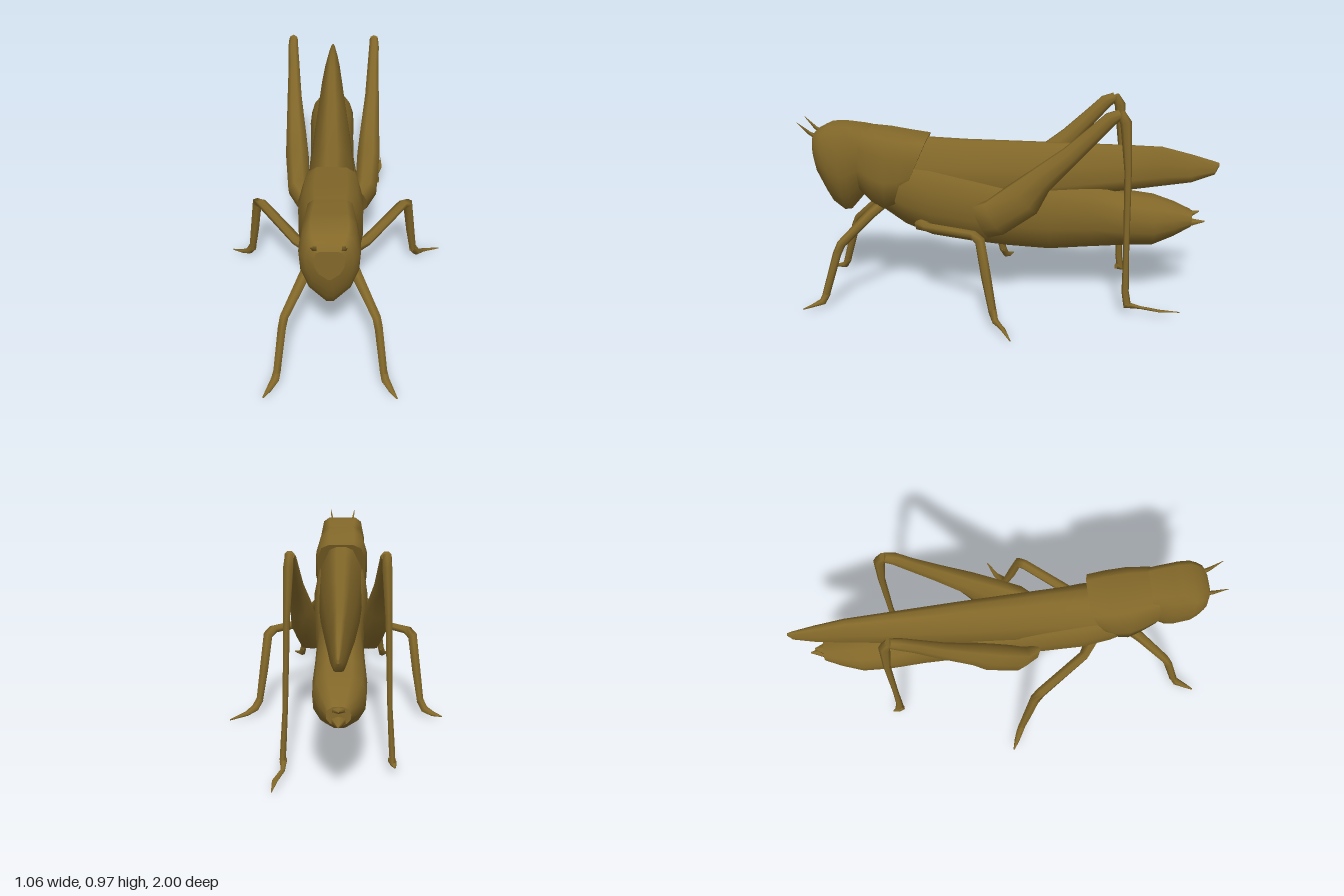
import * as THREE from 'three';

const CX = -0.02; // body axis

// Skin a list of closed rings (arrays of Vector3), capping both ends
function skin(rings) {
  const n = rings[0].length, pos = [], idx = [];
  const put = p => pos.push(p.x, p.y, p.z) / 3 - 1;
  rings.forEach(r => r.forEach(put));
  for (let k = 0; k < rings.length - 1; k++) {
    for (let i = 0; i < n; i++) {
      const j = (i + 1) % n, a = k * n, b = a + n;
      idx.push(a + i, b + i, a + j, a + j, b + i, b + j);
    }
  }
  [0, rings.length - 1].forEach(k => {
    const mid = new THREE.Vector3();
    rings[k].forEach(p => mid.addScaledVector(p, 1 / n));
    const c = put(mid);
    const first = pos.length / 3;
    rings[k].forEach(put); // own vertices keep the cap edge crisp
    for (let i = 0; i < n; i++) {
      const j = (i + 1) % n;
      if (k === 0) idx.push(c, first + i, first + j);
      else idx.push(c, first + j, first + i);
    }
  });
  const g = new THREE.BufferGeometry();
  g.setAttribute('position', new THREE.Float32BufferAttribute(pos, 3));
  g.setIndex(idx);
  g.computeVertexNormals();
  return g;
}

// Body loft, front to back. Section: [z, top, bottom, halfWidth, lean, axisX]
// Profile: [width fraction, depth fraction] from top to bottom
function bodyLoft(profile, sections) {
  return skin(sections.map(([z, top, bottom, hw, lean = 0, cx = CX]) => {
    const point = ([f, t], s) =>
      new THREE.Vector3(cx + s * f * hw, top + (bottom - top) * t, z + lean * t);
    return [
      ...[...profile].reverse().map(p => point(p, 1)),
      ...profile.map(p => point(p, -1)),
    ];
  }));
}

// Limb along a path. Point: [x, y, z, sideRadius, otherRadius]
function limb(points, sides = 6) {
  const P = points.map(p => new THREE.Vector3(p[0], p[1], p[2]));
  return skin(P.map((p, i) => {
    const before = P[Math.max(i - 1, 0)], after = P[Math.min(i + 1, P.length - 1)];
    const d = new THREE.Vector3();
    if (before !== p) d.add(p.clone().sub(before).normalize());
    if (after !== p) d.add(after.clone().sub(p).normalize());
    d.normalize();
    const u = new THREE.Vector3(1, 0, 0).addScaledVector(d, -d.x).normalize();
    const v = u.clone().cross(d);
    const [, , , ru, rv = ru] = points[i];
    return Array.from({ length: sides }, (_, k) => {
      const a = (k + 0.5) / sides * Math.PI * 2;
      return p.clone().addScaledVector(u, Math.cos(a) * ru).addScaledVector(v, Math.sin(a) * rv);
    });
  }));
}

export function createModel() {
  const model = new THREE.Group();
  model.name = 'grasshopper';
  const brown = new THREE.MeshStandardMaterial({ color: 0x836829 });
  brown.name = 'olive brown';
  const add = (name, geometry) => {
    const m = new THREE.Mesh(geometry, brown);
    m.name = name;
    model.add(m);
  };

  // Head: broad crown tapering to the mouth
  add('head', bodyLoft(
    [[0.6, 0], [0.85, 0.06], [1, 0.3], [0.95, 0.55], [0.68, 0.8], [0.12, 1]],
    [
      [0.932, 0.80, 0.66, 0.06],
      [0.915, 0.825, 0.595, 0.095],
      [0.885, 0.84, 0.53, 0.113],
      [0.855, 0.853, 0.475, 0.122],
      [0.80, 0.857, 0.43, 0.122],
      [0.765, 0.854, 0.435, 0.118],
      [0.70, 0.848, 0.51, 0.11],
      [0.66, 0.842, 0.53, 0.105],
    ]));

  // Neck shield with a slanted rear edge
  add('neckShield', bodyLoft(
    [[0.5, 0], [0.82, 0.07], [1, 0.3], [1, 0.65], [0.85, 1]],
    [
      [0.73, 0.845, 0.56, 0.105, -0.02],
      [0.66, 0.842, 0.50, 0.12, -0.01],
      [0.57, 0.832, 0.47, 0.135, 0.02],
      [0.47, 0.815, 0.49, 0.135, 0.07],
      [0.38, 0.803, 0.53, 0.125, 0.12],
    ]));

  // Thorax and abdomen
  add('abdomen', bodyLoft(
    [[0.45, 0], [0.85, 0.15], [1, 0.4], [0.96, 0.65], [0.7, 0.86], [0.25, 1]],
    [
      [0.68, 0.70, 0.50, 0.08],
      [0.60, 0.72, 0.44, 0.11],
      [0.50, 0.72, 0.37, 0.13],
      [0.37, 0.70, 0.315, 0.138],
      [0.18, 0.66, 0.285, 0.13],
      [0.0, 0.62, 0.264, 0.118],
      [-0.2, 0.60, 0.248, 0.108, 0, -0.025],
      [-0.4, 0.58, 0.262, 0.11, 0, -0.028],
      [-0.57, 0.53, 0.273, 0.116, 0, -0.03],
      [-0.7, 0.512, 0.277, 0.112, 0, -0.03],
      [-0.8, 0.48, 0.32, 0.082, 0, -0.03],
      [-0.88, 0.445, 0.365, 0.05, 0, -0.03],
    ]));
  add('upperTailTip', limb([[-0.03, 0.42, -0.8, 0.045, 0.035], [-0.03, 0.428, -0.87, 0.036, 0.016], [-0.03, 0.442, -0.92, 0.003]]));
  add('lowerTailTip', limb([[-0.03, 0.38, -0.8, 0.045, 0.035], [-0.03, 0.385, -0.87, 0.036, 0.022], [-0.03, 0.39, -0.95, 0.003]]));

  // Folded wings: a tall, narrow roof
  add('foldedWings', bodyLoft(
    [[0.2, 0], [0.5, 0.06], [0.85, 0.4], [1, 0.75], [0.6, 1]],
    [
      [0.45, 0.795, 0.50, 0.122],
      [0.2, 0.783, 0.49, 0.112],
      [-0.2, 0.773, 0.51, 0.09, 0, -0.025],
      [-0.57, 0.763, 0.555, 0.062, 0, -0.03],
      [-0.73, 0.757, 0.575, 0.047, 0, -0.03],
      [-0.87, 0.722, 0.592, 0.033, 0, -0.03],
      [-0.98, 0.69, 0.63, 0.016, 0, -0.03],
      [-1.0, 0.684, 0.67, 0.006, 0, -0.03],
    ]));

  for (const s of [1, -1]) {
    const side = s > 0 ? 'left' : 'right';
    const sided = pts => pts.map(([x, ...rest]) => [CX + s * x, ...rest]);

    add(side + 'Antenna', limb(sided([
      [0.05, 0.79, 0.89, 0.014], [0.057, 0.82, 0.94, 0.009], [0.068, 0.873, 0.995, 0.001]]), 4));

    // Front leg
    add(side + 'FrontLeg', limb(sided([
      [0.08, 0.485, 0.60, 0.026], [0.11, 0.44, 0.655, 0.026, 0.024],
      [0.195, 0.315, 0.785, 0.021], [0.205, 0.27, 0.805, 0.02],
      [0.23, 0.065, 0.865, 0.018]])));
    add(side + 'FrontFoot', limb(sided([
      [0.228, 0.075, 0.86, 0.018], [0.238, 0.035, 0.88, 0.02, 0.017],
      [0.262, 0.022, 0.925, 0.013, 0.008], [0.285, 0.014, 0.965, 0.004, 0.003]])));

    // Middle leg: the left foot reaches a little further back
    const back = s > 0 ? 0.035 : 0;
    add(side + 'MiddleLeg', limb(sided([
      [0.09, 0.385, 0.42, 0.032], [0.16, 0.395, 0.375, 0.026, 0.022],
      [0.335, 0.425, 0.14, 0.025, 0.02], [0.36, 0.405, 0.11, 0.025, 0.024],
      [0.382, 0.23, 0.08, 0.023], [0.405, 0.07, 0.05, 0.018]])));
    add(side + 'MiddleFoot', limb(sided([
      [0.402, 0.085, 0.053, 0.02], [0.425, 0.042, 0.038, 0.02, 0.016],
      [0.465, 0.024, 0.02 - back / 2, 0.014, 0.009], [0.51 + back, 0.006 + (s < 0 ? 0.012 : 0), 0 - back, 0.003]])));

    // Jumping leg: swollen thigh, thin shin
    add(side + 'HindThigh', limb(sided([
      [0.13, 0.42, 0.12, 0.04, 0.09], [0.16, 0.45, 0.055, 0.056, 0.094],
      [0.172, 0.55, -0.08, 0.058, 0.097], [0.178, 0.637, -0.152, 0.05, 0.067],
      [0.19, 0.764, -0.293, 0.036, 0.047], [0.195, 0.875, -0.405, 0.028, 0.038],
      [0.2, 0.935, -0.465, 0.026, 0.034], [0.2, 0.96, -0.51, 0.022, 0.022]]), 8));
    add(side + 'HindShin', limb(sided([
      [0.2, 0.965, -0.51, 0.02, 0.02], [0.203, 0.92, -0.535, 0.023, 0.026],
      [0.213, 0.7, -0.552, 0.016, 0.017], [0.225, 0.3, -0.558, 0.013, 0.014],
      [0.236, 0.12, -0.56, 0.015, 0.017], [0.24, 0.05, -0.572, 0.014, 0.018]])));
    add(side + 'HindFoot', limb(sided(s > 0
      ? [[0.238, 0.055, -0.56, 0.018], [0.235, 0.04, -0.63, 0.01, 0.008],
        [0.262, 0.036, -0.72, 0.014, 0.003], [0.268, 0.034, -0.815, 0.002]]
      : [[0.235, 0.06, -0.55, 0.018], [0.245, 0.047, -0.575, 0.016, 0.013],
        [0.25, 0.04, -0.6, 0.004]])));
  }
  return model;
}
